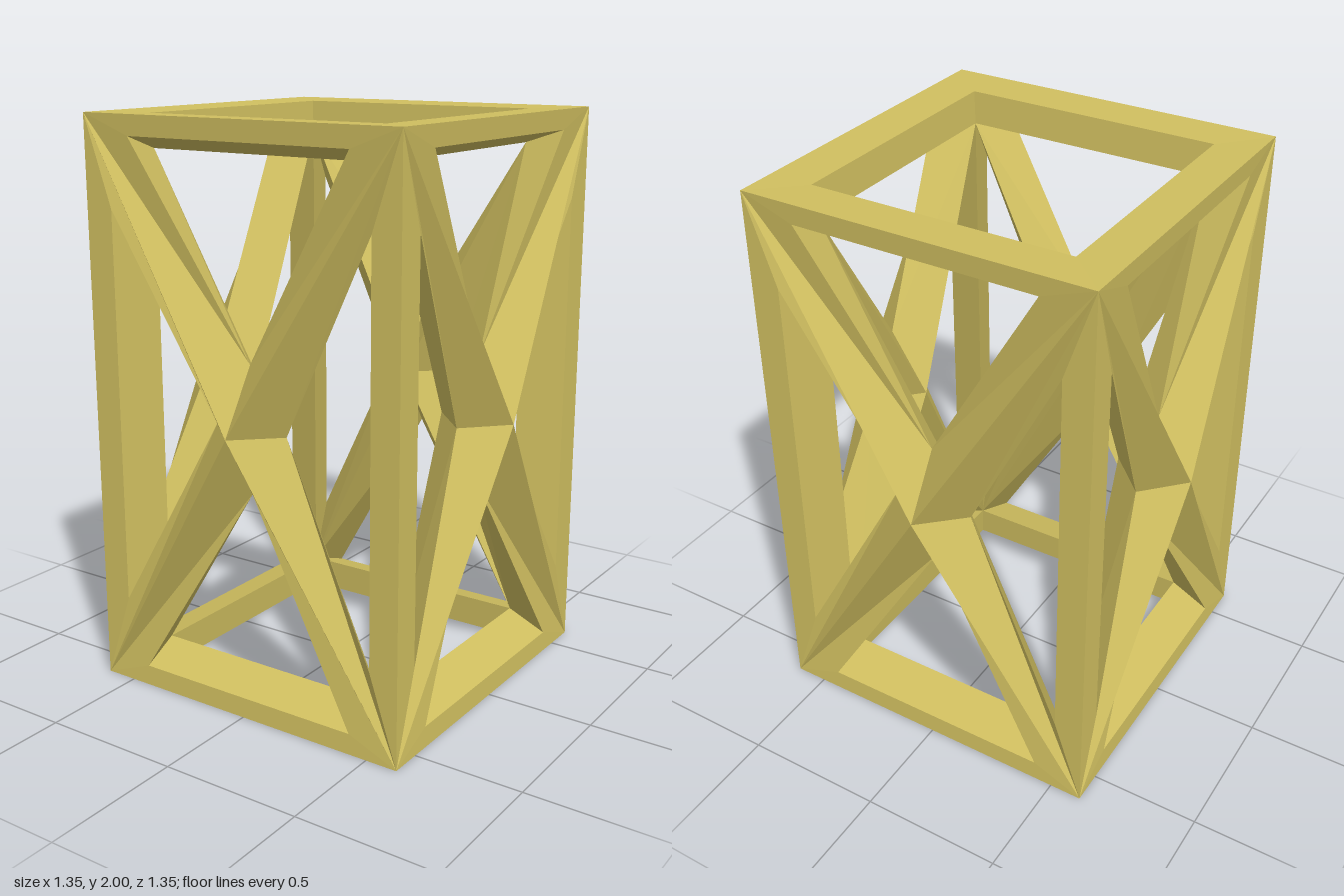
import * as THREE from 'three';

const W = 0.615, H = 1;        // outer half width and half height
const IW = 0.455, IH = 0.88;   // inner half width and half height
const material = new THREE.MeshStandardMaterial({ color: 0xd0bf60, flatShading: true });

// Turn a point half a turn about the z axis
const spin = ([x, y, z]) => [-x, -y, z];

// Two triangles, split along a-c
function quad(out, a, b, c, d) {
  out.push(...a, ...b, ...c, ...a, ...c, ...d);
}

// Frame around a hole: band from outer to hole edge, then wall from hole to inner edge.
// Counter-clockwise from outside; in a triangle the last point is the apex.
function addFrame(out, outer, hole, inner) {
  const n = outer.length;
  for (let k = 0; k < n; k++) {
    const j = (k + 1) % n;
    const band = [outer[k], outer[j], hole[j], hole[k]];
    const wall = [hole[k], hole[j], inner[j], inner[k]];
    // keep the split running from the corner to the apex notch
    if (n === 3 && k === 2) band.push(band.shift());
    if (n === 3 && k === 1) wall.push(wall.shift());
    quad(out, ...band);
    quad(out, ...wall);
  }
}

function toGeometry(points) {
  const g = new THREE.BufferGeometry();
  g.setAttribute('position', new THREE.Float32BufferAttribute(points, 3));
  g.computeVertexNormals();
  return g;
}

// One side: four triangular frames meeting at a raised centre
function sideGeometry() {
  const out = [];
  const apex = [0, 0, 0.675], innerApex = [0, 0, 0.4];
  const top = [
    [[W, H, W], [-W, H, W], apex],
    [[0.43, 0.93, 0.61], [-0.43, 0.93, 0.61], [0, 0.22, 0.54]],
    [[IW, IH, IW], [-IW, IH, IW], innerApex],
  ];
  const flank = [
    [[-W, H, W], [-W, -H, W], apex],
    [[-0.51, 0.69, 0.613], [-0.51, -0.69, 0.613], [-0.143, 0, 0.54]],
    [[-IW, IH, IW], [-IW, -IH, IW], innerApex],
  ];
  for (const rings of [top, flank]) {
    addFrame(out, ...rings);
    addFrame(out, ...rings.map((r) => r.map(spin)));
  }
  return toGeometry(out);
}

// Square frame closing the top or bottom
function endGeometry() {
  const out = [];
  const square = (r, y) => [[r, y, r], [r, y, -r], [-r, y, -r], [-r, y, r]];
  addFrame(out, square(W, H), square(0.463, 0.995), square(IW, IH));
  return toGeometry(out);
}

export function createModel() {
  const model = new THREE.Group();
  model.name = 'openFrameTower';
  const add = (geometry, name) => {
    const mesh = new THREE.Mesh(geometry, material);
    mesh.name = name;
    mesh.position.y = H;
    model.add(mesh);
    return mesh;
  };

  // Four crossed side panels
  const side = sideGeometry();
  ['frontCrossPanel', 'leftCrossPanel', 'backCrossPanel', 'rightCrossPanel'].forEach((name, i) => {
    add(side, name).rotation.y = (i * Math.PI) / 2;
  });

  // Top and bottom square frames
  const end = endGeometry();
  add(end, 'topFrame');
  add(end, 'bottomFrame').rotation.x = Math.PI;
  return model;
}
